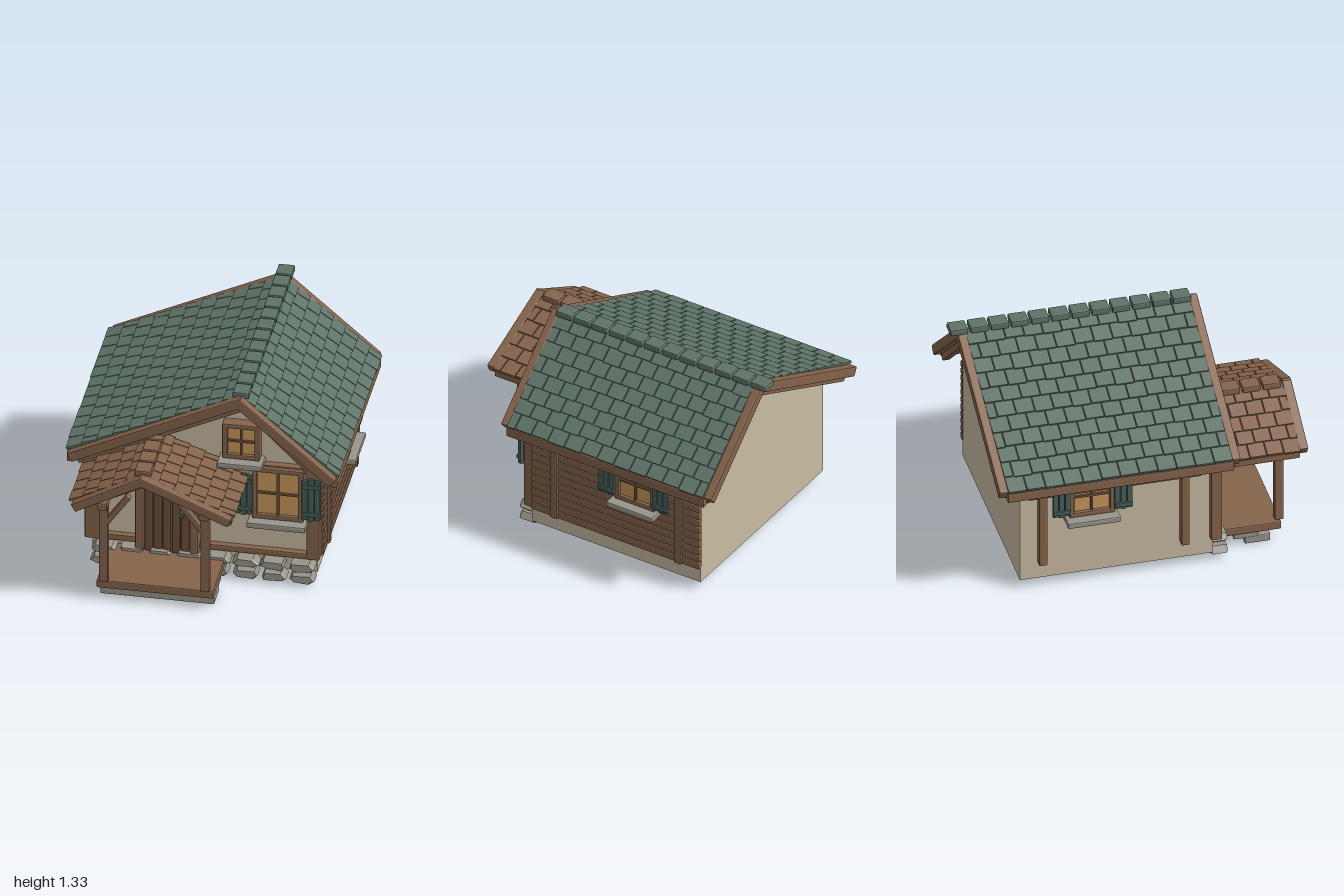
import * as THREE from 'three';
import { mergeGeometries, toCreasedNormals } from 'three/addons/utils/BufferGeometryUtils.js';
import { RoundedBoxGeometry } from 'three/addons/geometries/RoundedBoxGeometry.js';

const colour = (name, color) => Object.assign(new THREE.MeshStandardMaterial({ color }), { name });

export function createModel() {
  const root = new THREE.Group();
  root.name = 'cottage';
  const wood = colour('wood', 0x85634b);
  const darkWood = colour('dark wood', 0x6e503c);
  const plaster = colour('plaster', 0xc8bba2);
  const slate = colour('green roof tile', 0x5f7367);
  const paint = colour('green paint', 0x48605a);
  const stone = colour('stone', 0x98958b);
  const glass = colour('amber glass', 0xc8985a);

  let seed = 7;
  const rand = () => (seed = (seed * 16807) % 2147483647) / 2147483647;

  const add = (parent, name, geo, mat) => {
    const m = new THREE.Mesh(geo, mat);
    m.name = name;
    parent.add(m);
    return m;
  };
  const group = (name, parent = root) => {
    const g = new THREE.Group();
    g.name = name;
    parent.add(g);
    return g;
  };
  // Box with softened edges, placed by its centre
  const bevelBox = (w, h, d) =>
    toCreasedNormals(new RoundedBoxGeometry(w, h, d, 1, Math.min(0.008, 0.25 * Math.min(w, h, d))), 0.3);
  const box = (parent, name, mat, w, h, d, x, y, z, rz = 0) => {
    const m = add(parent, name, bevelBox(w, h, d), mat);
    m.position.set(x, y, z);
    m.rotation.z = rz;
    return m;
  };
  // Box given by its limits
  const span = (parent, name, mat, x0, x1, y0, y1, z0, z1) =>
    box(parent, name, mat, x1 - x0, y1 - y0, z1 - z0, (x0 + x1) / 2, (y0 + y1) / 2, (z0 + z1) / 2);
  // Timber between two points of a plane of constant z
  const beam = (parent, name, x0, y0, x1, y1, t, z0, z1) =>
    box(parent, name, wood, Math.hypot(x1 - x0, y1 - y0), t, z1 - z0,
      (x0 + x1) / 2, (y0 + y1) / 2, (z0 + z1) / 2, Math.atan2(y1 - y0, x1 - x0));

  // House body: one gabled block
  const outline = new THREE.Shape([
    [-0.69, 0.06], [0.69, 0.06], [0.69, 0.84], [0.235, 1.24], [-0.69, 0.8],
  ].map(p => new THREE.Vector2(...p)));
  add(root, 'walls', new THREE.ExtrudeGeometry(outline, { depth: 1.2, bevelEnabled: false }), plaster)
    .position.z = -0.79;

  // One roof slope: boarding, tile courses and eave board
  function slope(parent, name, mat, ridge, eave, z0, z1, rows, cols) {
    const s = Math.sign(eave[0] - ridge[0]);
    const dx = Math.abs(eave[0] - ridge[0]), dy = ridge[1] - eave[1];
    const len = Math.hypot(dx, dy), pitch = len / rows, wide = (z1 - z0) / cols;
    const g = group(name, parent);
    g.position.set(ridge[0], ridge[1], 0);
    g.rotation.z = -s * Math.atan2(dy, dx);
    box(g, 'roof boarding', wood, len, 0.035, z1 - z0, s * len / 2, -0.022, (z0 + z1) / 2);
    const tiles = [];
    for (let r = 0; r < rows; r++) {
      for (let c = 0; c <= cols; c++) {
        const start = z0 + (c - (r % 2) / 2) * wide;
        const a = Math.max(z0, start), b = Math.min(z1, start + wide);
        if (b - a < 0.02) continue;
        const t = new THREE.BoxGeometry(pitch * 1.1, 0.016, b - a - 0.006);
        t.rotateZ(s * (0.08 + rand() * 0.04));
        t.translate(s * ((r + 0.5) * pitch + rand() * 0.008), 0.006, (a + b) / 2);
        tiles.push(t);
      }
    }
    add(g, 'roof tiles', mergeGeometries(tiles), mat);
  }
  function ridgeCaps(parent, mat, x, y, z0, count) {
    for (let i = 0; i < count; i++)
      box(parent, 'ridge cap', mat, 0.1, 0.042, 0.112, x, y, z0 + 0.06 + i * 0.126);
  }

  // Main roof
  const roof = group('main roof');
  const top = [0.235, 1.297], eaveL = [-0.825, 0.805], eaveR = [0.82, 0.805];
  slope(roof, 'left slope', slate, top, eaveR, -0.9, 0.5, 8, 12);
  slope(roof, 'right slope', slate, top, eaveL, -0.9, 0.5, 11, 12);
  ridgeCaps(roof, slate, 0.235, 1.312, -1.0, 12);
  for (const [z0, z1] of [[0.495, 0.55], [-0.95, -0.895]]) {
    beam(roof, 'barge board', 0.25, 1.288, -0.81, 0.778, 0.065, z0, z1);
    beam(roof, 'barge board', 0.22, 1.288, 0.805, 0.778, 0.065, z0, z1);
  }
  beam(roof, 'rafter', 0.25, 1.23, -0.77, 0.74, 0.055, 0.42, 0.5);
  beam(roof, 'rafter', 0.22, 1.23, 0.64, 0.81, 0.05, 0.4, 0.46);
  beam(roof, 'back rafter', 0.25, 1.235, -0.77, 0.74, 0.055, -0.9, -0.85);
  beam(roof, 'back rafter', 0.22, 1.235, 0.78, 0.74, 0.055, -0.9, -0.85);
  for (const s of [-1, 1]) box(roof, 'eave board', wood, 0.04, 0.065, 1.41, s * 0.81, 0.762, -0.195);

  // Front timber frame
  const frame = group('front timber frame');
  span(frame, 'corner post', wood, -0.73, -0.635, 0.17, 0.8, 0.39, 0.46);
  span(frame, 'corner post', wood, 0.63, 0.71, 0.17, 0.82, 0.39, 0.46);
  span(frame, 'sill beam', wood, -0.64, 0.64, 0.165, 0.205, 0.39, 0.45);
  span(frame, 'tie beam', wood, 0.29, 0.7, 0.77, 0.81, 0.4, 0.455);
  span(frame, 'tie beam', wood, -0.7, -0.42, 0.74, 0.775, 0.4, 0.45);

  // Log siding on one side, posts and rails on both
  const logs = group('log siding');
  for (let i = 0; i < 11; i++)
    span(logs, 'log', wood, 0.68, 0.722, 0.17 + i * 0.052, 0.217 + i * 0.052, -0.797, 0.4);
  for (const s of [-1, 1]) {
    const side = group('side timbers');
    for (const z of [0.23, -0.655]) box(side, 'side post', wood, 0.055, 0.55, 0.052, s * 0.71, 0.445, z);
    box(side, 'side rail', wood, 0.05, 0.035, 1.08, s * 0.715, 0.677, -0.21);
  }

  // Foundation stones in two courses
  const stones = group('foundation stones');
  for (let row = 0; row < 2; row++) {
    for (let i = 0; i < 8; i++) {
      const w = 0.068, h = 0.024, j = () => (rand() - 0.5) * 0.018;
      const pts = [[-w, -0.004], [-w * 0.65, -h], [w * 0.65, -h], [w, -0.004], [w * 0.75, h], [-w * 0.75, h]]
        .map(([x, y]) => new THREE.Vector2(x + j(), y + j() * 0.4));
      const geo = new THREE.ExtrudeGeometry(new THREE.Shape(pts),
        { depth: 0.08, bevelSize: 0.008, bevelThickness: 0.012, bevelSegments: 1 });
      add(stones, 'stone', geo, stone).position.set(-0.605 + i * 0.173, row ? 0.13 : 0.052, 0.415);
    }
  }

  // Window facing local +z; sw and sh are the shutter sizes
  function windowUnit(name, w, h, x, y, z, turn, sw = 0, sh = 0, sy = 0) {
    const g = group(name);
    g.position.set(x, y, z);
    g.rotation.y = turn;
    const t = 0.032;
    span(g, 'pane', glass, -w / 2 + 0.01, w / 2 - 0.01, -h / 2 + 0.01, h / 2 - 0.01, -0.04, 0.018);
    for (const s of [-1, 1]) {
      box(g, 'frame side', wood, t, h, 0.085, s * (w - t) / 2, 0, 0.0);
      box(g, 'frame rail', wood, w, t, 0.08, 0, s * (h - t) / 2, 0.0);
    }
    box(g, 'glazing bar', darkWood, 0.016, h - t, 0.03, 0, 0, 0.017);
    box(g, 'glazing bar', darkWood, w - t, 0.016, 0.03, 0, 0, 0.016);
    box(g, 'stone sill', stone, w + 0.045, 0.038, 0.14, 0, -h / 2 - 0.018, 0.03);
    if (!sw) return;
    for (const s of [-1, 1]) {
      const shutter = group('shutter', g);
      shutter.position.set(s * (w / 2 + sw / 2 - 0.008), sy, 0.045);
      for (let i = -1; i <= 1; i++)
        box(shutter, 'shutter plank', paint, sw / 3 - 0.003, sh - Math.abs(i) * 0.014, 0.022, i * sw / 3, 0, 0);
      for (const k of [-1, 1])
        box(shutter, 'shutter batten', paint, sw * 0.96, 0.026, 0.02, 0, k * sh * 0.33, 0.012);
    }
  }
  windowUnit('front window', 0.315, 0.36, 0.457, 0.62, 0.44, 0, 0.115, 0.295, -0.008);
  windowUnit('gable window', 0.23, 0.245, 0.232, 0.967, 0.44, 0);
  windowUnit('left window', 0.285, 0.28, 0.71, 0.638, -0.355, Math.PI / 2, 0.115, 0.225, -0.005);
  windowUnit('right window', 0.285, 0.28, -0.71, 0.638, -0.355, -Math.PI / 2, 0.115, 0.225, -0.005);

  // Arched plank door
  const door = group('door');
  for (let i = 0; i < 7; i++) {
    const u = (i - 3) / 3, outer = Math.abs(u) === 1;
    const crown = 0.815 - 0.055 * u * u;
    box(door, 'door plank', outer ? wood : darkWood, 0.052, crown - 0.14, outer ? 0.1 : 0.08,
      -0.22 + u * 0.167, (crown + 0.14) / 2, 0.45);
  }
  span(door, 'door handle', paint, -0.138, -0.112, 0.41, 0.45, 0.485, 0.52);

  // Hanging lantern beside the door
  const lantern = group('lantern');
  span(lantern, 'lantern light', glass, -0.005, 0.045, 0.68, 0.745, 0.45, 0.5);
  span(lantern, 'lantern cap', darkWood, -0.012, 0.052, 0.745, 0.76, 0.41, 0.507);

  // Porch: deck, steps, posts, braces and roof
  const porch = group('porch');
  span(porch, 'deck', wood, -0.58, 0.135, 0.08, 0.135, 0.42, 0.865);
  span(porch, 'lower step', stone, -0.57, 0.13, 0, 0.052, 0.64, 0.8);
  span(porch, 'upper step', stone, -0.57, 0.13, 0.042, 0.08, 0.57, 0.725);
  for (const x of [-0.535, 0.088]) {
    box(porch, 'porch post', wood, 0.056, 0.58, 0.056, x, 0.425, 0.857);
    span(porch, 'porch plate', wood, x - 0.03, x + 0.03, 0.665, 0.72, 0.42, 0.93);
  }
  beam(porch, 'brace', -0.52, 0.55, -0.38, 0.75, 0.036, 0.835, 0.88);
  beam(porch, 'brace', 0.075, 0.55, -0.07, 0.74, 0.036, 0.835, 0.88);
  beam(porch, 'wall brace', -0.6, 0.71, -0.45, 0.56, 0.036, 0.45, 0.49);
  const pTop = [-0.285, 0.945];
  slope(porch, 'left slope', wood, pTop, [0.268, 0.725], 0.42, 0.95, 6, 5);
  slope(porch, 'right slope', wood, pTop, [-0.718, 0.725], 0.42, 0.95, 5, 5);
  ridgeCaps(porch, wood, -0.285, 0.955, 0.432, 4);
  beam(porch, 'barge board', -0.265, 0.945, -0.7, 0.708, 0.058, 0.94, 1);
  beam(porch, 'barge board', -0.305, 0.945, 0.26, 0.708, 0.058, 0.94, 1);
  beam(porch, 'porch rafter', -0.27, 0.895, -0.67, 0.695, 0.045, 0.89, 0.945);
  beam(porch, 'porch rafter', -0.3, 0.895, 0.23, 0.695, 0.045, 0.89, 0.945);
  for (const x of [-0.69, 0.245]) box(porch, 'porch eave board', wood, 0.035, 0.05, 0.52, x, 0.69, 0.69);

  return root;
}
